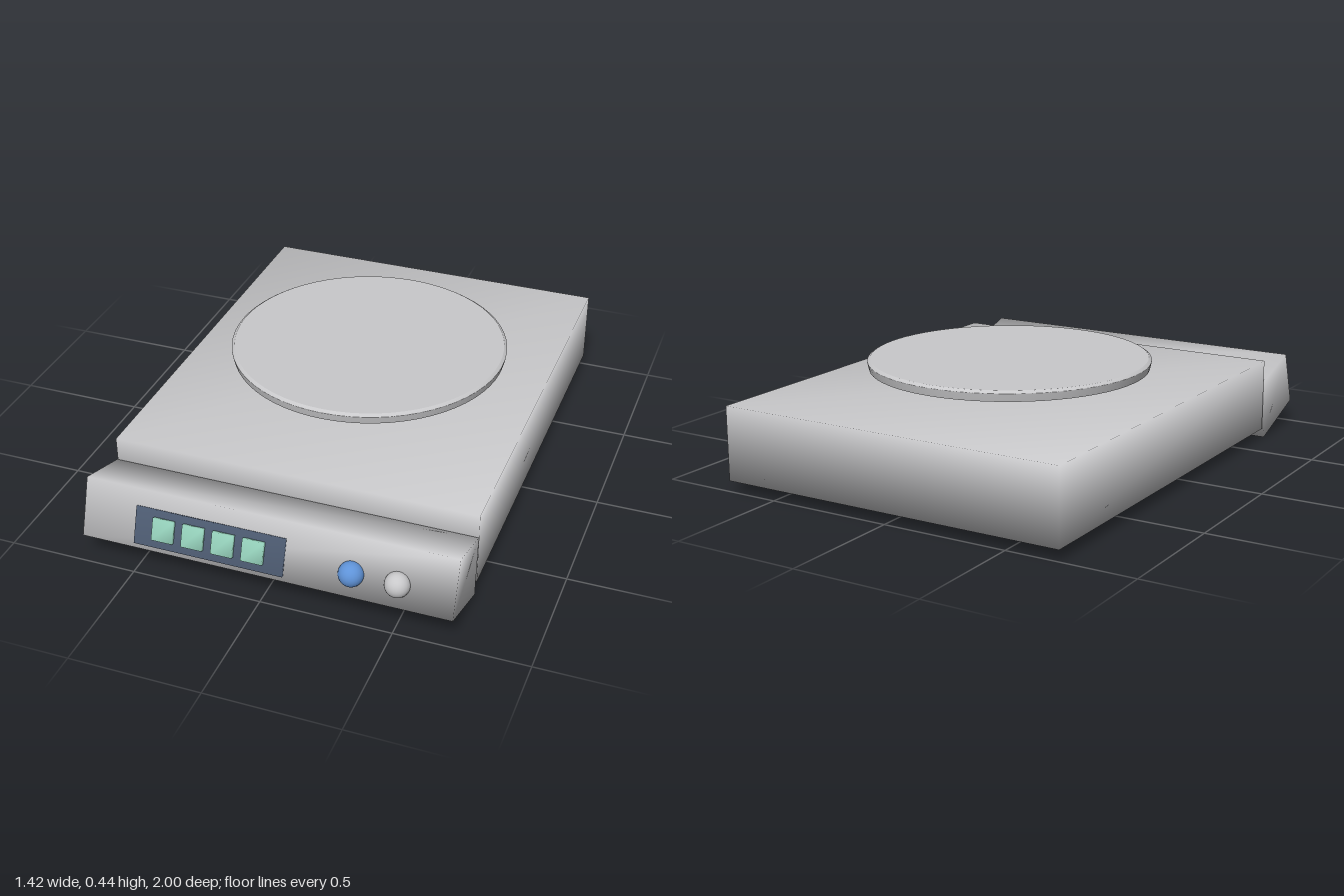
import * as THREE from 'three';
import { mergeVertices } from 'three/addons/utils/BufferGeometryUtils.js';

const paint = (name, color) => {
  const m = new THREE.MeshStandardMaterial({ color });
  m.name = name;
  return m;
};

// Box whose corners share averaged normals, giving soft shading
function softBox(w, h, d) {
  const box = new THREE.BoxGeometry(w, h, d);
  box.deleteAttribute('normal');
  box.deleteAttribute('uv');
  const g = mergeVertices(box);
  g.computeVertexNormals();
  return g;
}

function add(parent, name, geometry, material, x = 0, y = 0, z = 0) {
  const mesh = new THREE.Mesh(geometry, material);
  mesh.name = name;
  mesh.position.set(x, y, z);
  parent.add(mesh);
  return mesh;
}

export function createModel() {
  const scale = new THREE.Group();
  scale.name = 'kitchenScale';
  const grey = paint('brushed grey', 0xc8c8ca);
  const slate = paint('slate display', 0x4c5a70);
  const mint = paint('mint digits', 0x96d2bc);
  const blue = paint('blue button', 0x5f93d8);

  // Main housing
  add(scale, 'body', softBox(1.42, 0.29, 1.675), grey, 0, 0.19, -0.1625);

  // Weighing plate on its stem
  add(scale, 'stem', new THREE.CylinderGeometry(0.067, 0.067, 0.09, 32), grey, 0, 0.365, -0.24);
  const rim = [[0, 0.402], [0.543, 0.402], [0.543, 0.402], [0.55, 0.432], [0.55, 0.435],
    [0.538, 0.443], [0.538, 0.443], [0, 0.443]].map(([r, y]) => new THREE.Vector2(r, y));
  add(scale, 'weighingPlate', new THREE.LatheGeometry(rim, 64), grey, 0, 0, -0.163);

  // Tilted control panel: move the box corners to a wedge section [z, y]
  const panel = softBox(1.42, 1, 1);
  const p = panel.attributes.position;
  for (let i = 0; i < p.count; i++) {
    const top = p.getY(i) > 0, front = p.getZ(i) > 0;
    const [z, y] = top ? (front ? [0.906, 0.315] : [0.68, 0.245])
      : (front ? [0.978, 0.1] : [0.698, 0.003]);
    p.setXYZ(i, p.getX(i), y, z);
  }
  panel.computeVertexNormals();
  add(scale, 'controlPanel', panel, grey);

  // Controls lie in the plane of the panel face
  const controls = new THREE.Group();
  controls.name = 'controls';
  controls.position.set(0, 0.186, 0.949);
  controls.rotation.x = -Math.atan2(0.072, 0.215);
  scale.add(controls);

  add(controls, 'display', softBox(0.58, 0.143, 0.016), slate, -0.21, 0, 0.002);
  for (let i = 0; i < 4; i++) {
    add(controls, 'digit' + (i + 1), softBox(0.082, 0.084, 0.024), mint, -0.385 + i * 0.1165, 0.003, 0.014);
  }
  [['blueButton', blue, 0.33], ['greyButton', grey, 0.5]].forEach(([name, material, x]) => {
    const button = add(controls, name, new THREE.SphereGeometry(0.047, 24, 16), material, x, -0.002, 0.004);
    button.scale.z = 0.95;
  });
  return scale;
}
